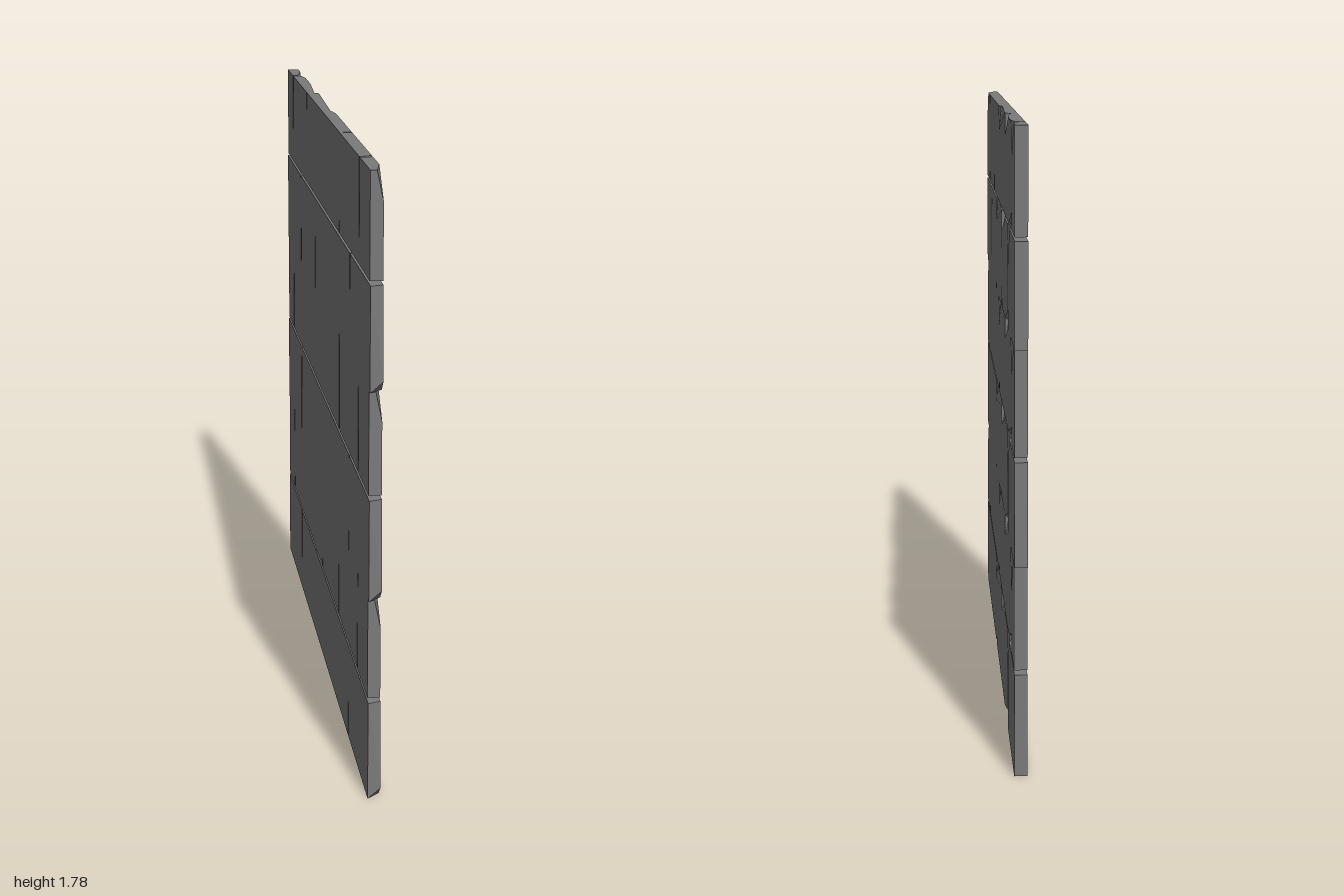
import * as THREE from 'three';
import { ConvexGeometry } from 'three/addons/geometries/ConvexGeometry.js';

const X = 0.018; // half thickness of the wall

// A chip is [zSide, ySide, length along z, length along y, depth into the face].
const CHIPS = {
  A: [[1, -1, 0.03, 0.03, 0.035], [1, 1, 0.012, 0.24, 0.035]],
  B: [[-1, -1, 0.04, 0.03, 0.035], [-1, 1, 0.05, 0.09, 0.006]],
  C: [[1, 1, 0.36, 0.07, 0.01], [-1, -1, 0.012, 0.1, 0.035], [-1, 1, 0.01, 0.18, 0.03]],
  D: [[-1, -1, 0.18, 0.05, 0.035], [1, 1, 0.2, 0.06, 0.012], [-1, 1, 0.05, 0.12, 0.008]],
  E: [[1, 1, 0.1, 0.09, 0.02]],
  F: [[1, 1, 0.085, 0.085, 0.018]],
};

// Convex brick whose outer (+x) corners can be chipped off.
function brickGeometry(z0, z1, y0, y1, chips) {
  const points = [];
  for (const sz of [-1, 1]) {
    for (const sy of [-1, 1]) {
      const z = sz > 0 ? z1 : z0, y = sy > 0 ? y1 : y0;
      points.push(new THREE.Vector3(-X, y, z));
      const chip = chips.find((c) => c[0] === sz && c[1] === sy);
      if (!chip) {
        points.push(new THREE.Vector3(X, y, z));
        continue;
      }
      const [, , a, b, d] = chip;
      points.push(
        new THREE.Vector3(X, y, z - sz * a),
        new THREE.Vector3(X, y - sy * b, z),
        new THREE.Vector3(X - d, y, z),
      );
    }
  }
  return new ConvexGeometry(points);
}

// Brick kind with its z range, for the two alternating courses.
const EVEN = [
  ['A', 0.603, 1], ['B', 0.202, 0.597], ['C', -0.203, 0.201],
  ['D', -0.597, -0.206], ['E', -1, -0.606],
];
const ODD = [
  ['F', 0.787, 0.985], ['A', 0.384, 0.78], ['B', -0.017, 0.377],
  ['C', -0.422, -0.018], ['D', -0.82, -0.426], ['E', -0.988, -0.829],
];

export function createModel() {
  const wall = new THREE.Group();
  wall.name = 'brickWall';
  const material = new THREE.MeshStandardMaterial({ color: 0x7a7a7a, flatShading: true });

  // Three repeats of a plain course with an offset course on top; the repeats touch
  for (let row = 0; row < 6; row++) {
    const odd = row % 2 === 1;
    const base = Math.floor(row / 2) * 0.594;
    const y0 = base + (odd ? 0.301 : 0);
    const y1 = base + (odd ? 0.594 : 0.291);
    const course = new THREE.Group();
    course.name = `course${row + 1}`;
    (odd ? ODD : EVEN).forEach(([kind, z0, z1], i) => {
      const brick = new THREE.Mesh(brickGeometry(z0, z1, y0, y1, CHIPS[kind]), material);
      brick.name = `brick${row + 1}_${i + 1}`;
      course.add(brick);
    });
    wall.add(course);
  }
  return wall;
}
